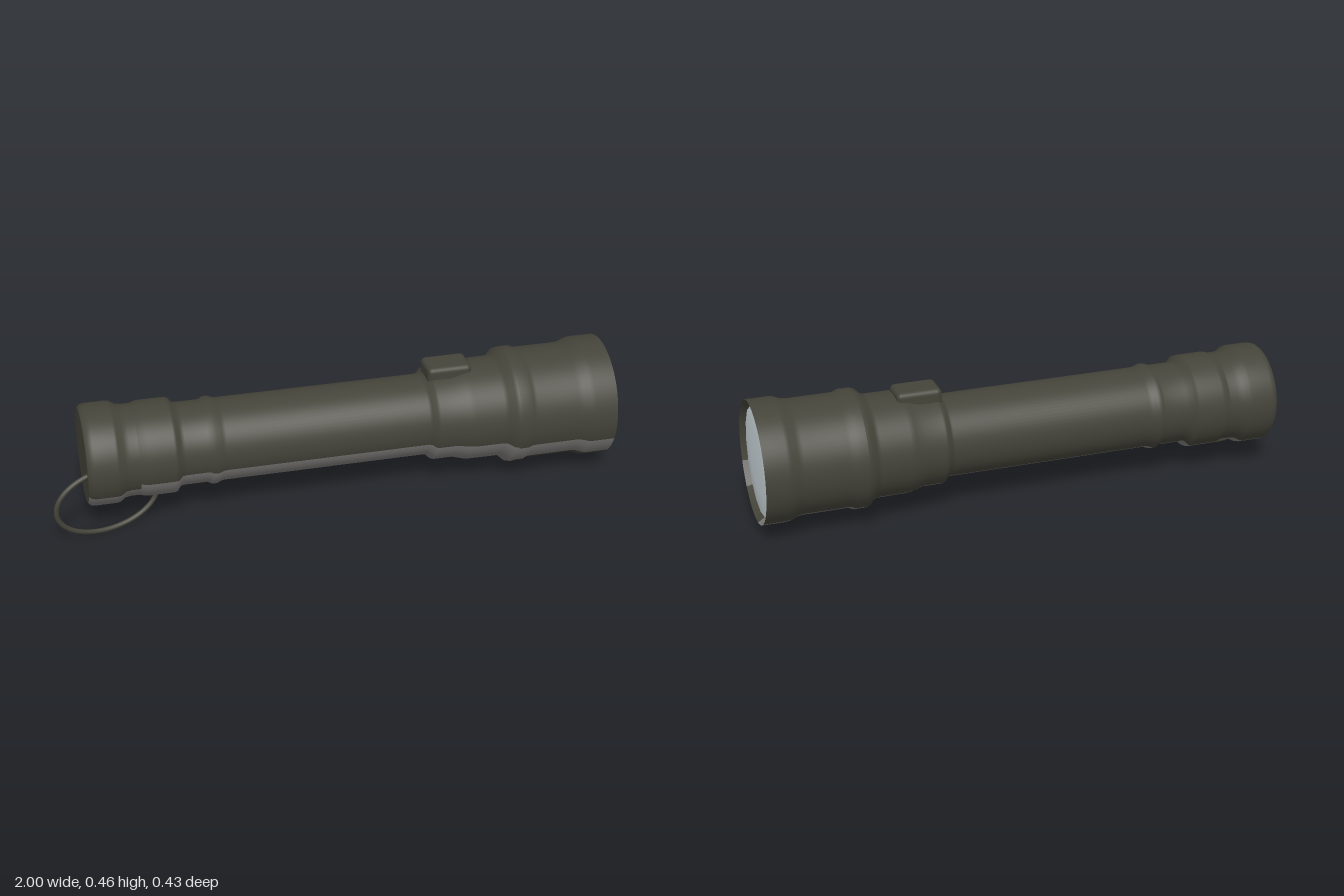
import * as THREE from 'three';
import { RoundedBoxGeometry } from 'three/addons/geometries/RoundedBoxGeometry.js';

const AXIS_Y = 0.245; // height of the barrel's centre line

export function createModel() {
  const group = new THREE.Group();
  const material = (name, color) => {
    const m = new THREE.MeshStandardMaterial({ color });
    m.name = name;
    return m;
  };
  const olive = material('dark olive', 0x45443a);
  const grey = material('worn grey', 0x7d7b79);
  const glass = material('pale glass', 0xd0dce0);

  const add = (name, geometry, mat) => {
    const mesh = new THREE.Mesh(geometry, mat);
    mesh.name = name;
    group.add(mesh);
    return mesh;
  };

  // Turns [x, radius] pairs about the barrel axis; angles run in degrees
  // from straight forward (0) down through the underside (90).
  const turned = (name, profile, mat, from = 0, to = 360, sides = 72) => {
    const segments = Math.max(3, Math.round(sides * (to - from) / 360));
    const geo = new THREE.LatheGeometry(
      profile.map(([x, r]) => new THREE.Vector2(r, x)), segments,
      THREE.MathUtils.degToRad(from), THREE.MathUtils.degToRad(to - from));
    geo.rotateZ(-Math.PI / 2);
    geo.translate(0, AXIS_Y, 0);
    return add(name, geo, mat);
  };

  // A turned section with grey bands between the given angles
  const banded = (name, profile, bands) => {
    bands.forEach(([from, to], i) => {
      const next = i + 1 < bands.length ? bands[i + 1][0] : bands[0][0] + 360;
      turned(name + 'Stripe', profile, grey, from, to);
      turned(name, profile, olive, to, next);
    });
  };

  const tailBands = [[30, 125]];
  const bodyBands = [[20, 125]];
  const headBands = [[22, 47], [98, 126]];

  // Tail cap
  turned('tailEnd', [[-0.875, 0], [-0.875, 0.165]], olive);
  banded('tailCap', [
    [-0.875, 0.165], [-0.865, 0.175], [-0.85, 0.178], [-0.775, 0.178], [-0.765, 0.176],
    [-0.745, 0.163], [-0.725, 0.16], [-0.695, 0.16],
  ], tailBands);

  // Tail collar, grip tube and neck collars
  banded('barrel', [
    [-0.695, 0.16], [-0.675, 0.166], [-0.665, 0.167], [-0.575, 0.167], [-0.565, 0.165],
    [-0.55, 0.147], [-0.535, 0.145], [-0.455, 0.145], [-0.44, 0.153], [-0.425, 0.154],
    [-0.405, 0.146], [-0.39, 0.145], [0.33, 0.145], [0.34, 0.149], [0.355, 0.164],
    [0.365, 0.166], [0.43, 0.166], [0.47, 0.177], [0.49, 0.18], [0.595, 0.181],
    [0.61, 0.185], [0.63, 0.205], [0.645, 0.208],
  ], bodyBands);

  // Flared head
  banded('head', [
    [0.645, 0.208], [0.68, 0.208], [0.695, 0.201], [0.71, 0.2], [0.86, 0.2],
    [0.88, 0.203], [0.905, 0.213], [0.92, 0.215], [1, 0.215],
  ], headBands);

  // Bezel sloping in to the lens
  banded('bezel', [[1, 0.215], [0.972, 0.196]], headBands);

  // Lens: round seat with a shallow faceted dome
  turned('lensSeat', [[0.972, 0.198], [0.972, 0]], glass);
  turned('lens', [[0.972, 0.194], [0.983, 0.19], [0.987, 0.1], [0.988, 0]], glass, 0, 360, 16);

  // Switch button on a raised pad
  add('switchButton', new RoundedBoxGeometry(0.16, 0.08, 0.112, 3, 0.018), olive)
    .position.set(0.425, 0.405, -0.005);

  // Oval wrist loop hanging from the tail
  const points = [];
  for (let i = 0; i < 32; i++) {
    const a = i / 32 * Math.PI * 2;
    points.push(new THREE.Vector3(0.188 * Math.cos(a), 0.119 * Math.sin(a), 0));
  }
  const loop = add('wristLoop', new THREE.TubeGeometry(
    new THREE.CatmullRomCurve3(points, true), 64, 0.009, 8, true), olive);
  loop.position.set(-0.81, 0.128, 0.117);
  loop.rotation.y = 0.273;

  return group;
}
